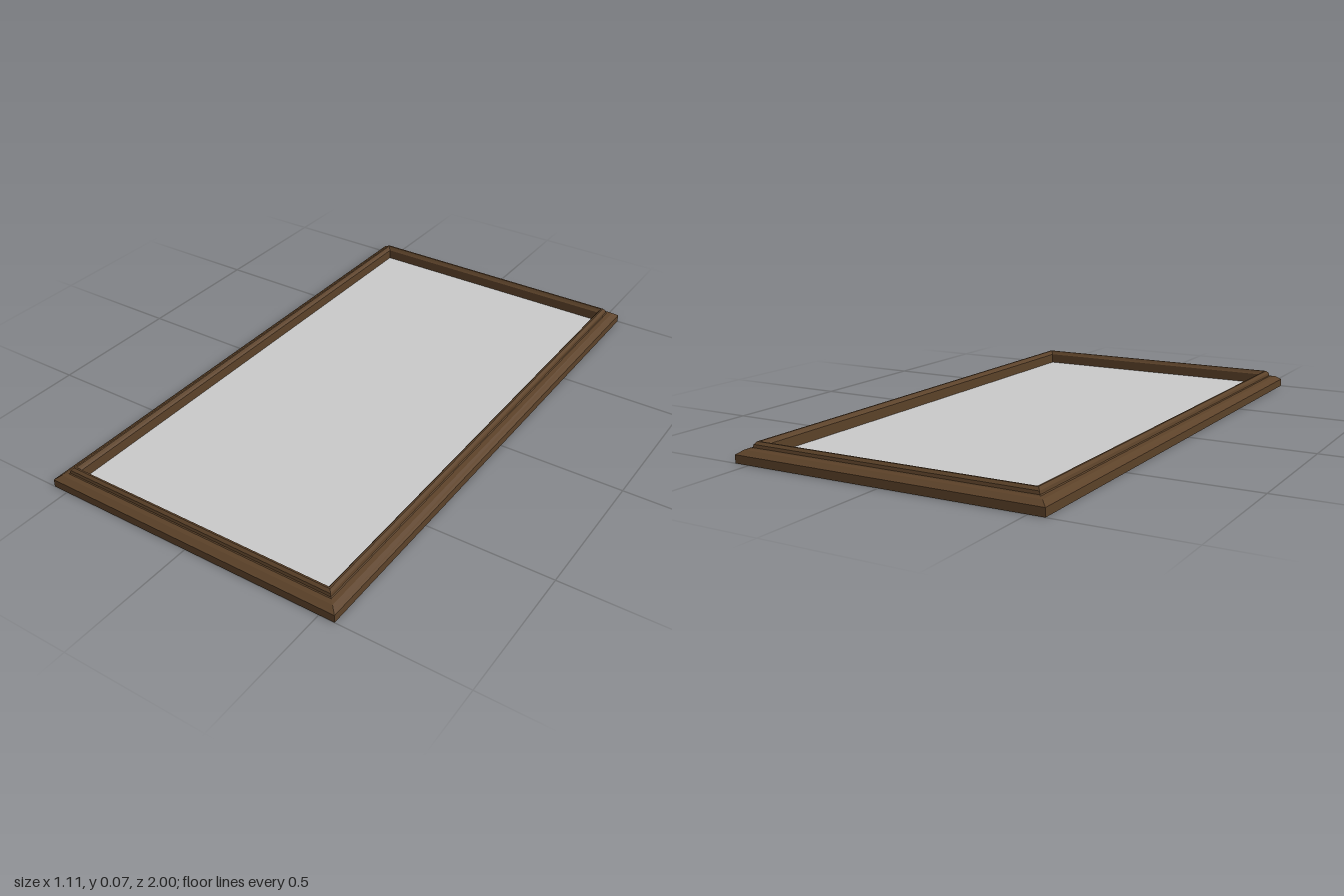
import * as THREE from 'three';

const HALF_X = 0.555, HALF_Z = 1;

// Moulding cross-section as [inset from outer edge, height], outside to inside
const PROFILE = [
  [0, 0], [0, 0.028], [0.006, 0.032], [0.02, 0.042], [0.036, 0.044], [0.039, 0.047],
  [0.041, 0.057], [0.049, 0.066], [0.055, 0.066], [0.06, 0.058], [0.065, 0.052], [0.065, 0.016],
];

// Corners of the rectangle at a given inset, in order round the frame
function corners([inset, y]) {
  const x = HALF_X - inset, z = HALF_Z - inset;
  return [[-x, y, z], [x, y, z], [x, y, -z], [-x, y, -z]];
}

// One mitred rail: the cross-section swept along one side
function railGeometry(side) {
  const positions = [];
  for (let i = 0; i < PROFILE.length - 1; i++) {
    const low = corners(PROFILE[i]), high = corners(PROFILE[i + 1]);
    const next = (side + 1) % 4;
    const a = low[side], b = low[next], c = high[next], d = high[side];
    positions.push(...a, ...b, ...c, ...a, ...c, ...d);
  }
  const geometry = new THREE.BufferGeometry();
  geometry.setAttribute('position', new THREE.Float32BufferAttribute(positions, 3));
  geometry.computeVertexNormals();
  return geometry;
}

export function createModel() {
  const model = new THREE.Group();
  model.name = 'framedPanel';
  const wood = new THREE.MeshStandardMaterial({ color: 0x5c4229, flatShading: true });
  const grey = new THREE.MeshStandardMaterial({ color: 0xcccccc });

  const add = (name, geometry, material) => {
    const mesh = new THREE.Mesh(geometry, material);
    mesh.name = name;
    model.add(mesh);
    return mesh;
  };

  // Four stepped rails with mitred corners
  ['frontRail', 'leftRail', 'backRail', 'rightRail'].forEach((name, side) => {
    add(name, railGeometry(side), wood);
  });

  // Recessed panel, facing up
  const inset = PROFILE[PROFILE.length - 1][0];
  const panel = add('panel', new THREE.PlaneGeometry(2 * (HALF_X - inset), 2 * (HALF_Z - inset)), grey);
  panel.rotation.x = -Math.PI / 2;
  panel.position.y = 0.016;

  // Backing board, facing down
  const backing = add('backing', new THREE.PlaneGeometry(2 * HALF_X, 2 * HALF_Z), wood);
  backing.rotation.x = Math.PI / 2;

  return model;
}
